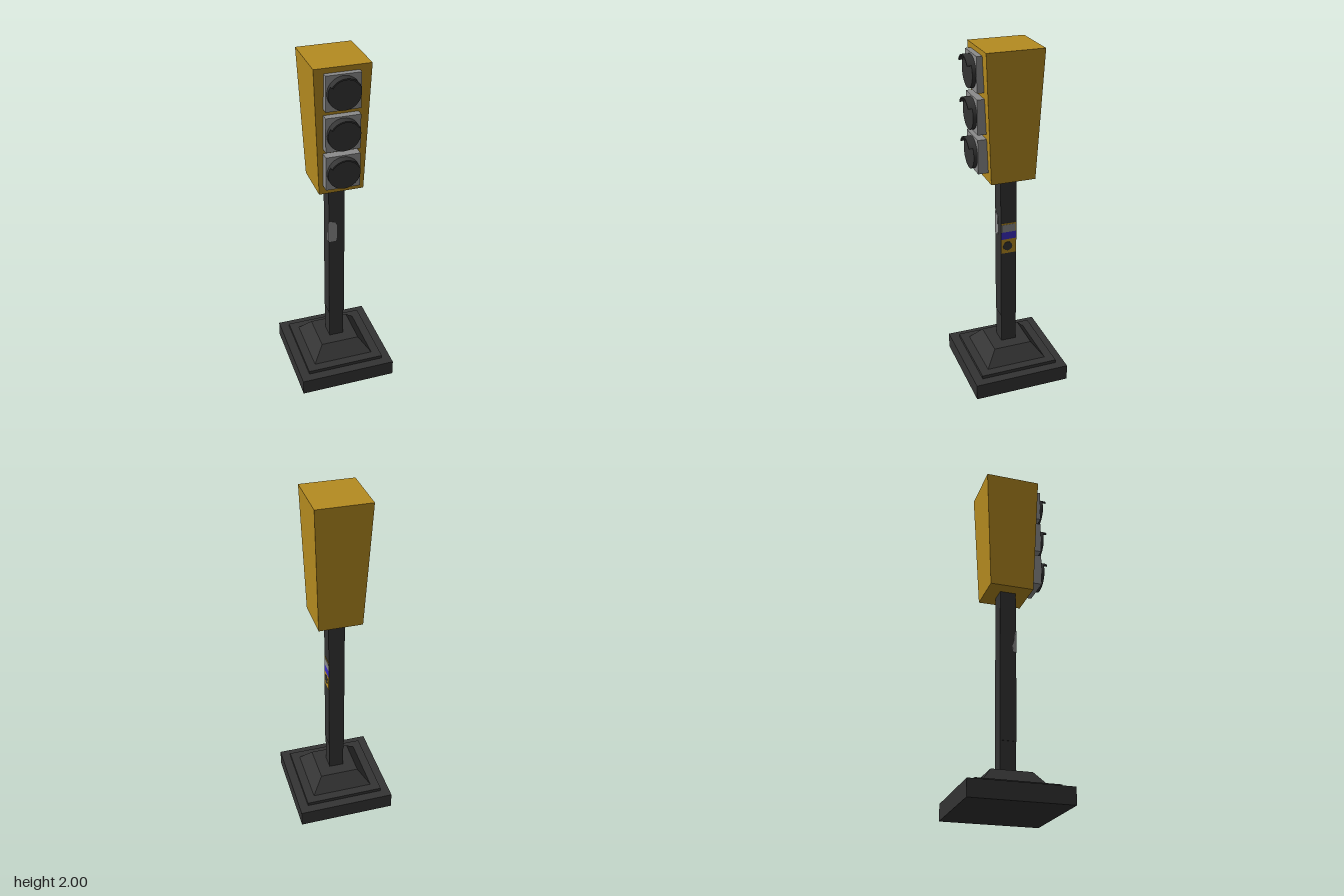
import * as THREE from 'three';

const material = (name, color) => {
  const m = new THREE.MeshStandardMaterial({ color });
  m.name = name;
  return m;
};

// Box whose bottom and top rectangles differ; each is [x0, x1, z0, z1]
function taperedBox(bottom, top, y0, y1) {
  const g = new THREE.BoxGeometry(1, 1, 1).toNonIndexed();
  const p = g.attributes.position;
  for (let i = 0; i < p.count; i++) {
    const up = p.getY(i) > 0;
    const r = up ? top : bottom;
    p.setXYZ(i, p.getX(i) < 0 ? r[0] : r[1], up ? y1 : y0, p.getZ(i) < 0 ? r[2] : r[3]);
  }
  g.computeVertexNormals();
  return g;
}

const square = (h) => [-h, h, -h, h];

function plate(points, depth = 0.002) {
  const shape = new THREE.Shape(points.map(([x, y]) => new THREE.Vector2(x, y)));
  return new THREE.ExtrudeGeometry(shape, { depth, bevelEnabled: false });
}

export function createModel() {
  const dark = material('dark metal', 0x333333);
  const gold = material('housing yellow', 0xb58b20);
  const grey = material('light grey', 0x8b8b8b);
  const blue = material('sticker blue', 0x3a2cc0);

  const model = new THREE.Group();
  model.name = 'trafficLight';
  const add = (name, geometry, mat, parent = model) => {
    const mesh = new THREE.Mesh(geometry, mat);
    mesh.name = name;
    parent.add(mesh);
    return mesh;
  };

  // Stepped base
  add('basePlinth', taperedBox(square(0.285), square(0.285), 0, 0.095), dark);
  add('baseStep', taperedBox(square(0.232), square(0.232), 0.095, 0.115), dark);
  add('baseSlope', taperedBox(square(0.181), square(0.115), 0.115, 0.2), dark);

  // Square pole, slightly wider above
  const lower = [-0.045, 0.042, -0.044, 0.046];
  const upper = [-0.048, 0.045, -0.045, 0.049];
  add('poleLower', taperedBox(lower, lower, 0.2, 0.38), dark);
  add('poleUpper', taperedBox(upper, upper, 0.38, 1.275), dark);

  // Housing, narrowing downwards
  add('housing', taperedBox([-0.127, 0.123, -0.125, 0.13], [-0.16, 0.147, -0.162, 0.16], 1.275, 2), gold);

  // Three lamps: backing block, lens and a thin visor over the top
  const a0 = THREE.MathUtils.degToRad(32);
  const arc = new THREE.Shape();
  arc.absarc(0, 0, 0.089, a0, Math.PI - a0, false);
  arc.absarc(0, 0, 0.081, Math.PI - a0, a0, true);
  arc.closePath();
  const visorGeometry = new THREE.ExtrudeGeometry(arc, { depth: 0.024, bevelEnabled: false, curveSegments: 12 });
  const lensGeometry = new THREE.CylinderGeometry(0.089, 0.089, 0.022, 32).rotateX(Math.PI / 2);
  const blockGeometry = new THREE.BoxGeometry(0.189, 0.193, 0.09);
  [1.875, 1.648, 1.427].forEach((y, i) => {
    const lamp = new THREE.Group();
    lamp.name = ['topLamp', 'middleLamp', 'bottomLamp'][i];
    lamp.position.set(-0.0125, y, 0);
    model.add(lamp);
    add('lampBlock', blockGeometry, grey, lamp).position.z = 0.145;
    add('lens', lensGeometry, dark, lamp).position.z = 0.2;
    add('visor', visorGeometry, dark, lamp).position.z = 0.21;
  });

  // Notice on the pole's left face
  const notice = new THREE.Group();
  notice.name = 'poleNotice';
  notice.position.set(0.045, 0, 0.002);
  notice.rotation.y = Math.PI / 2;
  model.add(notice);
  const band = (name, y0, y1, w, mat, depth) =>
    add(name, plate([[-w, y0], [w, y0], [w, y1], [-w, y1]], depth), mat, notice);
  band('noticeBacking', 0.8, 0.99, 0.044, gold, 0.001);
  band('noticeGreyBand', 0.935, 0.982, 0.042, grey, 0.002);
  band('noticeBlueBand', 0.89, 0.935, 0.044, blue, 0.002);
  const button = add('noticeButton', new THREE.CylinderGeometry(0.028, 0.028, 0.003, 12).rotateX(Math.PI / 2), dark, notice);
  button.position.set(-0.006, 0.845, 0.001);

  // Grey patch wrapped around the front edge of the pole
  add('patchFront', plate([[-0.048, 0.9], [-0.006, 0.9], [-0.001, 0.92], [-0.001, 1.01],
    [-0.01, 1.025], [-0.04, 1.035], [-0.048, 1.035]]), grey).position.z = 0.049;
  const side = add('patchSide', plate([[0.03, 0.905], [0.049, 0.9], [0.049, 1.03],
    [0.042, 1.02], [0.037, 0.965], [0.028, 0.94]]), grey);
  side.rotation.y = -Math.PI / 2;
  side.position.x = -0.048;

  return model;
}
